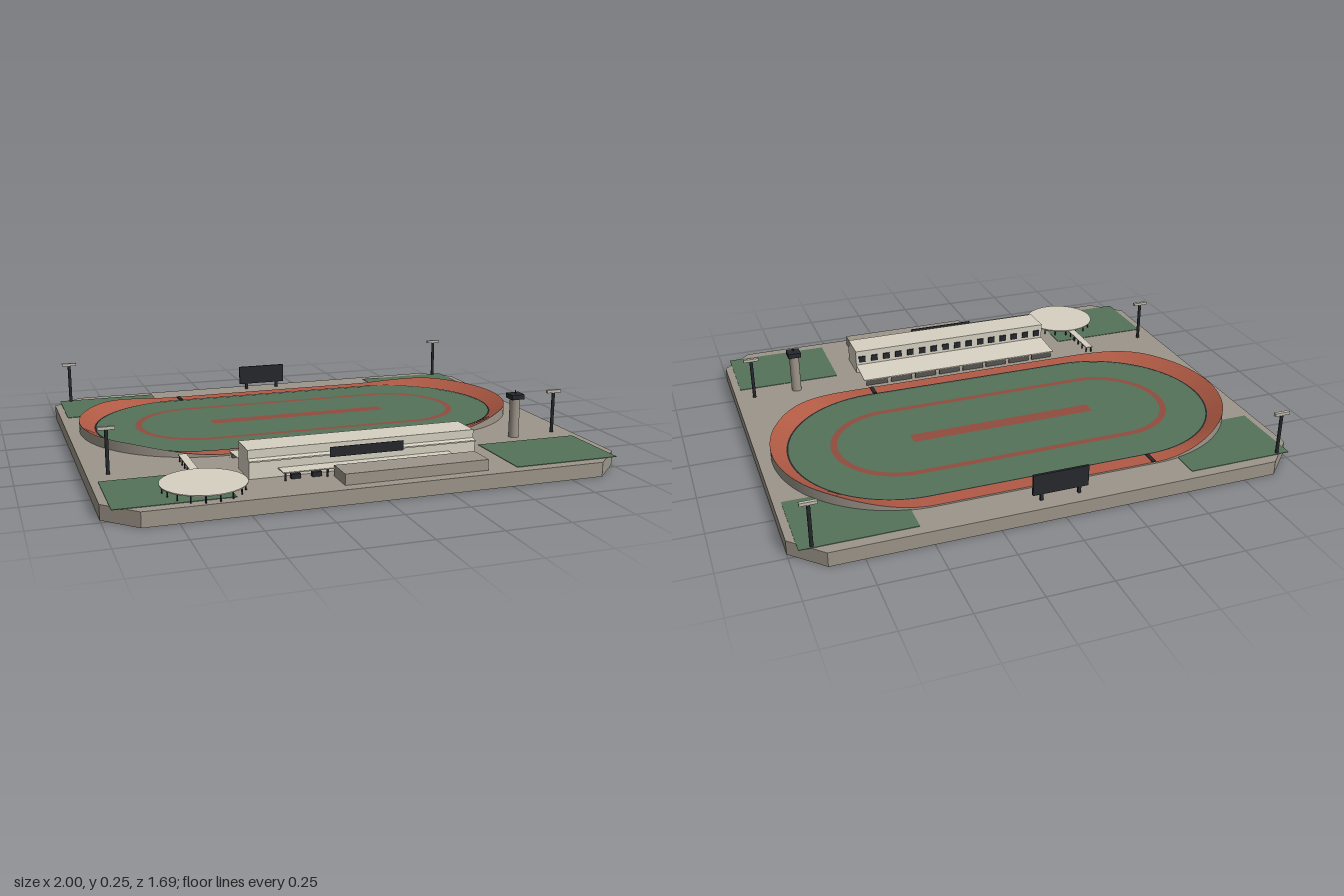
import * as THREE from 'three';
import { toCreasedNormals } from 'three/addons/utils/BufferGeometryUtils.js';

const mat = (color, side = THREE.FrontSide) => new THREE.MeshStandardMaterial({ color, side });
const M = {
  ground: mat(0x9d958a, THREE.DoubleSide), grass: mat(0x54735a), track: mat(0xb05a44), line: mat(0x914c3e),
  pale: mat(0xd6d1c1, THREE.DoubleSide), dark: mat(0x26282c), seat: mat(0x55544f), lamp: mat(0xc0bab0),
};
const TOP = 0.057, HALF = 0.45, TRACK_Z = -0.197;

export function createModel() {
  const root = new THREE.Group();

  const add = (name, geo, material, x = 0, y = 0, z = 0, parent = root) => {
    const mesh = new THREE.Mesh(geo, material);
    mesh.name = name;
    mesh.position.set(x, y, z);
    parent.add(mesh);
    return mesh;
  };
  // Box given by its ranges on each axis
  const box = (name, m, x0, x1, y0, y1, z0, z1, parent = root) =>
    add(name, new THREE.BoxGeometry(x1 - x0, y1 - y0, z1 - z0), m,
      (x0 + x1) / 2, (y0 + y1) / 2, (z0 + z1) / 2, parent);
  const group = (name) => {
    const g = new THREE.Group();
    g.name = name;
    root.add(g);
    return g;
  };
  // Flat plan shape lying face up
  const flat = (shape) => new THREE.ShapeGeometry(shape, 40).rotateX(-Math.PI / 2);
  // Profile in (z, y) swept along x
  const alongX = (points, width) =>
    new THREE.ExtrudeGeometry(new THREE.Shape(points.map(([z, y]) => new THREE.Vector2(-z, y))),
      { depth: width, bevelEnabled: false }).translate(0, 0, -width / 2).rotateY(Math.PI / 2);
  const stadium = (r, half, Type = THREE.Shape) => {
    const s = new Type();
    s.moveTo(-half, -r);
    s.lineTo(half, -r);
    s.absarc(half, 0, r, -Math.PI / 2, Math.PI / 2, false);
    s.lineTo(-half, r);
    s.absarc(-half, 0, r, Math.PI / 2, Math.PI * 1.5, false);
    return s;
  };
  const ring = (r0, r1, half) => {
    const s = stadium(r1, half);
    s.holes.push(stadium(r0, half, THREE.Path));
    return s;
  };
  // Band of quads between two lines of points
  const strip = (A, B) => {
    const pos = [];
    for (let i = 0; i < A.length - 1; i++)
      pos.push(...A[i], ...A[i + 1], ...B[i], ...A[i + 1], ...B[i + 1], ...B[i]);
    const g = new THREE.BufferGeometry();
    g.setAttribute('position', new THREE.Float32BufferAttribute(pos, 3));
    g.computeVertexNormals();
    return toCreasedNormals(g, 0.6);
  };

  // Base: a shell with cut corners, open underneath
  const corners = [[-0.88, -0.845], [0.88, -0.845], [1, -0.725], [1, 0.725],
    [0.88, 0.845], [-0.88, 0.845], [-1, 0.725], [-1, -0.725]];
  const edge = (y) => [...corners, corners[0]].map(([x, z]) => [x, y, z]);
  add('baseTop', flat(new THREE.Shape(corners.map(([x, z]) => new THREE.Vector2(x, -z)))), M.ground, 0, TOP, 0);
  add('baseWalls', strip(edge(TOP), edge(0)), M.ground);
  add('pavilionPadUnderside', new THREE.CircleGeometry(0.15, 40).rotateX(Math.PI / 2), M.track, -0.63, TOP - 0.001, 0.682);
  box('standFooting', M.dark, -HALF, HALF, TOP - 0.002, TOP, 0.332, 0.336);

  // Corner lawns
  for (const s of [-1, 1]) for (const z of [-0.64, 0.64])
    add('cornerLawn', new THREE.BoxGeometry(0.43, 0.002, 0.32), M.grass, s * 0.755, TOP + 0.001, z);

  // Banked track: level along the straights, raised outer rim round the ends
  const N = 128;
  const loop = (r, heightAt) => {
    const pts = [];
    for (let i = 0; i <= N + 1; i++) {
      const right = i <= N / 2;
      const a = -Math.PI / 2 + (right ? i : i - 1) * 2 * Math.PI / N;
      const bank = THREE.MathUtils.smoothstep(Math.asin(Math.min(1, Math.abs(Math.cos(a)))), 0, 0.85);
      pts.push([(right ? HALF : -HALF) + r * Math.cos(a), heightAt(bank), TRACK_Z + r * Math.sin(a)]);
    }
    pts.push(pts[0]);
    return pts;
  };
  const rim = loop(0.5, (b) => 0.063 + 0.036 * b);
  add('trackSurface', strip(loop(0.438, () => 0.063), rim), M.track);
  add('trackOuterWall', strip(rim, loop(0.5, () => TOP)), M.ground);

  // Infield, curb and markings
  add('infield', flat(stadium(0.434, HALF)), M.grass, 0, 0.0605, TRACK_Z);
  add('curb', flat(ring(0.431, 0.44, HALF)), M.dark, 0, 0.0625, TRACK_Z);
  add('infieldLoop', flat(ring(0.245, 0.272, 0.445)), M.line, 0, 0.062, TRACK_Z);
  add('infieldBar', new THREE.PlaneGeometry(0.78, 0.06).rotateX(-Math.PI / 2), M.line, 0, 0.062, TRACK_Z);
  box('startLine', M.dark, 0.419, 0.436, TOP, 0.066, 0.241, 0.302);
  box('startLine', M.dark, -0.442, -0.425, TOP, 0.066, -0.695, -0.636);

  // Grandstand: main hall, back windows, lean-to canopy over the seating bays
  const stand = group('grandstand');
  add('standBody', alongX([[0.478, TOP], [0.624, TOP], [0.624, 0.125], [0.608, 0.13], [0.608, 0.157], [0.478, 0.157]], 0.9),
    M.pale, 0, 0, 0, stand);
  box('standRoof', M.pale, -HALF, HALF, 0.155, 0.162, 0.474, 0.608, stand);
  box('standLedge', M.pale, -HALF, HALF, 0.121, 0.126, 0.608, 0.633, stand);
  add('standCanopy', alongX([[0.334, 0.082], [0.478, 0.092], [0.478, 0.095], [0.334, 0.085]], 0.9), M.pale, 0, 0, 0, stand);
  for (let i = 0; i < 16; i++) {
    const x = -0.422 + i * 0.0563;
    box('standWindow', M.dark, x - 0.015, x + 0.015, 0.108, 0.135, 0.472, 0.48, stand);
  }
  for (let i = 0; i < 8; i++) {
    const x = -0.392 + i * 0.112;
    box('seatingBay', M.seat, x - 0.048, x + 0.048, TOP, 0.082, 0.337, 0.342, stand);
  }
  box('standSign', M.dark, -0.148, 0.143, 0.118, 0.156, 0.642, 0.645, stand);

  // Entrance canopy, front annex and parked carts
  box('entranceCanopy', M.pale, -0.34, 0.34, 0.087, 0.091, 0.624, 0.689);
  for (let i = 0; i < 5; i++)
    box('entrancePost', M.dark, -0.332 + i * 0.16, -0.326 + i * 0.16, TOP, 0.088, 0.676, 0.682);
  box('annex', M.ground, -0.145, 0.42, TOP, 0.099, 0.682, 0.798);
  for (const x of [-0.285, -0.205]) box('cart', M.dark, x - 0.018, x + 0.018, TOP, 0.075, 0.648, 0.668);

  // Round pavilion and its walkway on posts
  const pav = group('pavilion');
  add('pavilionRoof', new THREE.CylinderGeometry(0.157, 0.157, 0.004, 48), M.pale, -0.63, 0.085, 0.682, pav);
  box('walkwayRoof', M.pale, -0.645, -0.613, 0.081, 0.085, 0.318, 0.535, pav);
  const post = (x, z) => add('pavilionPost', new THREE.CylinderGeometry(0.003, 0.003, 0.026, 6), M.dark, x, 0.07, z, pav);
  for (let i = 0; i < 18; i++) {
    const a = i * Math.PI / 9;
    post(-0.63 + 0.148 * Math.cos(a), 0.682 + 0.148 * Math.sin(a));
  }
  for (let i = 0; i < 5; i++) for (const x of [-0.641, -0.617]) post(x, 0.328 + i * 0.045);

  // Control tower
  const tower = group('controlTower');
  add('towerShaft', new THREE.CylinderGeometry(0.021, 0.021, 0.163, 20), M.ground, 0.737, 0.1385, 0.409, tower);
  box('towerCab', M.dark, 0.71, 0.765, 0.218, 0.238, 0.382, 0.436, tower);
  box('towerMast', M.dark, 0.736, 0.739, 0.238, 0.252, 0.408, 0.411, tower);

  // Floodlights
  for (const s of [-1, 1]) for (const z of [-0.789, 0.397]) {
    const light = group('floodlight');
    light.position.set(s * 0.922, 0, z);
    add('floodlightPole', new THREE.CylinderGeometry(0.007, 0.007, 0.171, 10), M.dark, 0, 0.1425, 0, light);
    add('floodlightHead', new THREE.BoxGeometry(0.064, 0.012, 0.013), M.lamp, 0, 0.232, 0, light);
  }

  // Scoreboard
  box('scoreboardPanel', M.dark, -0.11, 0.11, 0.083, 0.167, -0.791, -0.781);
  for (const x of [-0.075, 0.075]) box('scoreboardLeg', M.dark, x - 0.006, x + 0.006, TOP, 0.085, -0.791, -0.781);

  return root;
}
